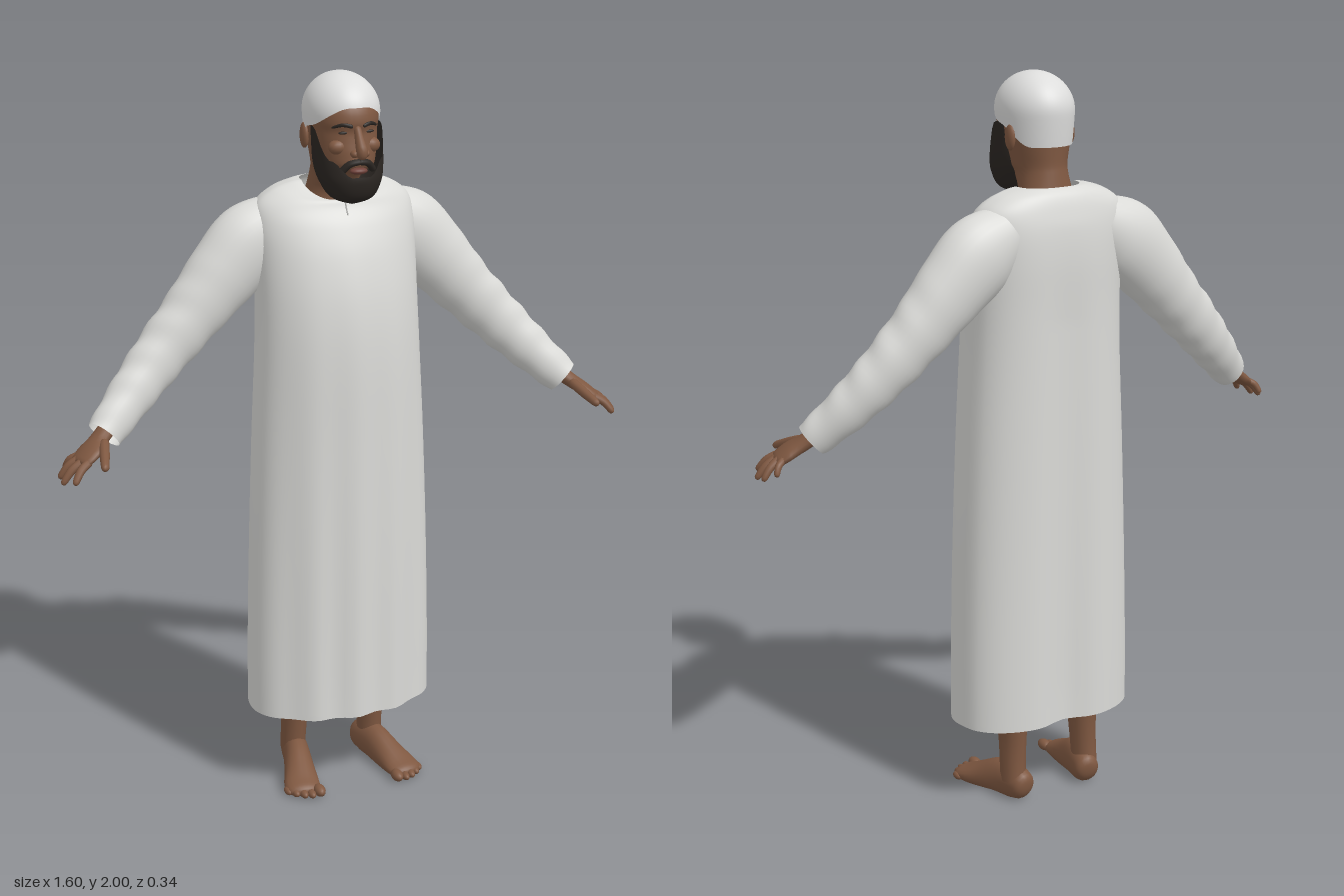
import * as THREE from 'three';
import { mergeVertices } from 'three/addons/utils/BufferGeometryUtils.js';

const paint = (name, color, open) => Object.assign(new THREE.MeshStandardMaterial({ color }),
  { name }, open ? { side: THREE.DoubleSide } : {});
const V = (x, y, z) => new THREE.Vector3(x, y, z);
const TAU = Math.PI * 2;
const smooth = THREE.MathUtils.smoothstep;

// Smooth surface from f(angle, v), closed around the angle
function surface(nu, nv, f) {
  const pos = [], idx = [], w = nu + 1;
  for (let j = 0; j <= nv; j++)
    for (let i = 0; i <= nu; i++) pos.push(...f(((i % nu) / nu) * TAU, j / nv).toArray());
  for (let j = 0; j < nv; j++)
    for (let i = 0; i < nu; i++) {
      const a = j * w + i;
      idx.push(a, a + 1, a + w, a + 1, a + w + 1, a + w);
    }
  let g = new THREE.BufferGeometry();
  g.setAttribute('position', new THREE.Float32BufferAttribute(pos, 3));
  g.setIndex(idx);
  g = mergeVertices(g, 1e-5);
  g.computeVertexNormals();
  return g;
}

// Smooth interpolation between rows of numbers, t from 0 to 1
function sample(rows, t) {
  const s = Math.min(t, 1) * (rows.length - 1), i = Math.min(Math.floor(s), rows.length - 2), f = s - i;
  const row = k => rows[Math.max(0, Math.min(rows.length - 1, k))];
  return rows[0].map((_, c) => {
    const [p, a, b, n] = [row(i - 1)[c], row(i)[c], row(i + 1)[c], row(i + 2)[c]];
    return a + 0.5 * f * (b - p + f * (2 * p - 5 * a + 4 * b - n + f * (3 * (a - b) + n - p)));
  });
}

// Point on a horizontal cross-section [y, half width, front z, back z]
function ring([y, w, zf, zb], a, n = 2) {
  const pw = c => Math.sign(c) * Math.abs(c) ** (2 / n);
  return V(w * pw(Math.sin(a)), y, (zf + zb) / 2 + ((zf - zb) / 2) * pw(Math.cos(a)));
}

// Tube with elliptical sections: rows are [x, y, z, radius across, radius along ref]
function limb(rows, { ref = V(0, 0, 1), round = 0, nu = 14, nv = 16, ripple, floor } = {}) {
  return surface(nu, nv, (a, v) => {
    const t = round ? (1 - Math.cos(v * Math.PI)) / 2 : v;
    const [x, y, z, ra, rb] = sample(rows, t);
    const p = sample(rows, Math.max(0, t - 0.01)), q = sample(rows, Math.min(1, t + 0.01));
    const tan = V(q[0] - p[0], q[1] - p[1], q[2] - p[2]).normalize();
    const B = ref.clone().addScaledVector(tan, -ref.dot(tan)).normalize();
    const A = B.clone().cross(tan);
    const d = Math.min(t, 1 - t);
    let k = round && d < round ? Math.sqrt(Math.max(0, 1 - ((round - d) / round) ** 2)) : 1;
    if (ripple) k *= ripple(a, t);
    const out = V(x, y, z).addScaledVector(A, Math.cos(a) * ra * k).addScaledVector(B, Math.sin(a) * rb * k);
    if (floor) out.y = Math.max(0, out.y);
    return out;
  });
}

function mirrored(geo) {
  const g = geo.clone().scale(-1, 1, 1), ix = g.index.array;
  for (let i = 0; i < ix.length; i += 3) [ix[i], ix[i + 1]] = [ix[i + 1], ix[i]];
  return g;
}

export function createModel() {
  const model = new THREE.Group();
  const cloth = paint('robe white', 0xdadad7, true), capWhite = paint('cap white', 0xdddddc, true);
  const skin = paint('skin brown', 0x7f5841), hair = paint('beard black', 0x2b2622, true);
  const lipTone = paint('lip brown', 0x70423a), seamTone = paint('seam grey', 0xb4b4b1);
  const add = (name, geo, mat) => {
    const m = new THREE.Mesh(geo, mat);
    m.name = name;
    model.add(m);
  };
  const pair = (name, geo, mat) => {
    add('left' + name, geo, mat);
    add('right' + name, mirrored(geo), mat);
  };
  const ball = (x, y, z, rx, ry, rz) => new THREE.SphereGeometry(1, 16, 12).scale(rx, ry, rz).translate(x, y, z);

  // Robe: y, half width, front z, back z, drop of the front neckline
  const robeRows = [
    [0.23, 0.262, 0.165, -0.168, 0], [0.42, 0.26, 0.165, -0.168, 0], [0.7, 0.252, 0.165, -0.168, 0],
    [1.0, 0.24, 0.162, -0.168, 0], [1.25, 0.227, 0.157, -0.168, 0], [1.4, 0.222, 0.142, -0.168, 0],
    [1.52, 0.223, 0.113, -0.168, 0], [1.6, 0.225, 0.08, -0.162, 0], [1.655, 0.213, 0.052, -0.15, 0.01],
    [1.69, 0.17, 0.042, -0.137, 0.025], [1.707, 0.12, 0.034, -0.122, 0.04], [1.711, 0.09, 0.03, -0.113, 0.048]];
  const robePoint = (a, v) => {
    const r = sample(robeRows, v), front = Math.max(0, Math.cos(a)), back = Math.max(0, -Math.cos(a));
    const p = ring(r, a, 2 + 0.5 * Math.min(1, back * 3));
    const k = THREE.MathUtils.clamp((1.62 - r[0]) / 1.3, 0, 1);
    p.y -= r[4] * front;
    p.z += back * (0.008 + 0.022 * k) * Math.min(1, k * 5) * Math.exp(-((p.x / 0.06) ** 2));
    p.z += front * 0.007 * k * (Math.cos(p.x * 52 + 0.4) - 1);
    return p;
  };
  add('robe', surface(72, 66, robePoint), cloth);
  const slit = [0.69, 0.74, 0.79, 0.84, 0.9, 0.96].map(v => robePoint(0, v));
  add('neckSlit', new THREE.TubeGeometry(new THREE.CatmullRomCurve3(slit), 16, 0.002, 6), seamTone);

  // Sleeves with creases toward the cuff
  pair('Sleeve', limb([
    [0.14, 1.6, -0.075, 0.08, 0.07], [0.22, 1.55, -0.075, 0.108, 0.082], [0.295, 1.478, -0.072, 0.1, 0.08],
    [0.39, 1.375, -0.065, 0.084, 0.07], [0.49, 1.272, -0.05, 0.073, 0.06], [0.58, 1.182, -0.02, 0.062, 0.053],
    [0.665, 1.1, 0.022, 0.05, 0.042]], {
    nu: 28, nv: 48,
    ripple: (a, t) => 1 + 0.04 * smooth(t, 0.3, 0.6) * Math.sin(55 * t + 2 * Math.sin(a)) * (0.6 + 0.4 * Math.cos(2 * a)),
  }), cloth);

  // Hands: palm, four fingers, thumb
  const across = V(-0.3, 0.1, 0.95);
  pair('Palm', limb([[0.62, 1.145, 0, 0.024, 0.026], [0.68, 1.095, 0.032, 0.02, 0.03],
    [0.715, 1.07, 0.055, 0.018, 0.045], [0.75, 1.045, 0.068, 0.013, 0.042]], { ref: across, round: 0.12 }), skin);
  const finger = (b, m, t, r) => limb([[...b, r, r], [...m, r, r], [...t, r * 0.75, r * 0.75]],
    { ref: across, round: 0.15, nu: 10, nv: 12 });
  [['Index', 0.125, 0.775, 1.01, 0.09, 0.722], ['Middle', 0.083, 0.797, 1.0, 0.072, 0.73],
    ['Ring', 0.045, 0.795, 1.004, 0.052, 0.736], ['Pinky', 0.012, 0.772, 1.02, 0.034, 0.738]].forEach(([n, z, x, y, bz, bx]) =>
    pair(n + 'Finger', finger([bx, 1.058, bz], [(bx + x) / 2 + 0.005, (1.058 + y) / 2 + 0.006, (bz + z) / 2], [x, y, z],
      n === 'Pinky' ? 0.0095 : 0.011), skin));
  pair('Thumb', finger([0.675, 1.095, 0.055], [0.69, 1.075, 0.11], [0.705, 1.055, 0.166], 0.0135), skin);

  // Legs, feet and toes
  pair('Leg', limb([[0.118, 0.05, -0.066, 0.034, 0.042], [0.117, 0.1, -0.062, 0.035, 0.042],
    [0.115, 0.17, -0.058, 0.037, 0.046], [0.115, 0.26, -0.055, 0.044, 0.054], [0.115, 0.42, -0.05, 0.055, 0.062]]), skin);
  pair('Foot', limb([[0.102, 0.033, -0.115, 0.034, 0.036], [0.11, 0.042, -0.075, 0.037, 0.05],
    [0.122, 0.04, -0.02, 0.038, 0.056], [0.138, 0.026, 0.045, 0.044, 0.042], [0.152, 0.016, 0.1, 0.05, 0.026],
    [0.16, 0.012, 0.142, 0.042, 0.016]], { ref: V(0, 1, 0), round: 0.12, nu: 20, nv: 26, floor: true }), skin);
  [[0.118, 0.146, 0.016, 0.026], [0.142, 0.149, 0.011, 0.02], [0.162, 0.141, 0.011, 0.02],
    [0.181, 0.126, 0.011, 0.02], [0.197, 0.108, 0.011, 0.019]].forEach(([x, z, r, l], i) =>
    pair('Toe' + (i + 1), ball(x, r, z, r, r, l), skin));

  // Head and neck
  const headRows = [
    [1.64, 0.085, 0.02, -0.118], [1.69, 0.072, 0.02, -0.108], [1.74, 0.066, 0.06, -0.1], [1.765, 0.074, 0.128, -0.097],
    [1.8, 0.081, 0.134, -0.098], [1.835, 0.086, 0.128, -0.1], [1.86, 0.088, 0.125, -0.102], [1.885, 0.09, 0.13, -0.103],
    [1.92, 0.088, 0.121, -0.1], [1.95, 0.072, 0.09, -0.08], [1.975, 0.025, 0.03, -0.03]];
  add('head', surface(36, 40, (a, v) => ring(sample(headRows, v), a, 2.15)), skin);
  pair('Ear', ball(0.091, 1.835, -0.016, 0.011, 0.034, 0.02).rotateX(0), skin);

  // Face
  add('nose', limb([[0, 1.876, 0.122, 0.009, 0.01], [0, 1.848, 0.136, 0.011, 0.014], [0, 1.818, 0.155, 0.015, 0.017],
    [0, 1.802, 0.15, 0.014, 0.014]], { round: 0.12 }), skin);
  pair('Nostril', ball(0.015, 1.809, 0.142, 0.011, 0.01, 0.014), skin);
  pair('Cheek', ball(0.045, 1.822, 0.103, 0.026, 0.02, 0.02), skin);
  pair('Brow', limb([[0.014, 1.876, 0.13, 0.005, 0.004], [0.038, 1.881, 0.121, 0.005, 0.004],
    [0.062, 1.872, 0.101, 0.003, 0.003]], { round: 0.15, nu: 8 }), hair);
  pair('Eye', ball(0.035, 1.86, 0.116, 0.014, 0.004, 0.006), hair);
  add('lips', ball(0, 1.763, 0.135, 0.024, 0.009, 0.015), lipTone);

  // Beard: its upper edge rises from the mouth to the ears
  const beardRows = [[1.668, 0.002, 0.092, 0.088], [1.688, 0.055, 0.138, 0.03], [1.73, 0.08, 0.156, -0.012],
    [1.77, 0.089, 0.152, -0.03], [1.82, 0.092, 0.138, -0.03], [1.87, 0.093, 0.132, -0.03]];
  add('beard', surface(48, 24, (a, v) => {
    const b = Math.min(a, TAU - a);
    const top = 0.5 + 0.18 * smooth(b, 0.25, 0.8) + 0.32 * smooth(b, 0.85, 1.6);
    return ring(sample(beardRows, v * top), a, 2.2);
  }), hair);
  pair('Moustache', limb([[-0.003, 1.788, 0.143, 0.008, 0.008], [0.025, 1.782, 0.136, 0.009, 0.01],
    [0.043, 1.762, 0.124, 0.009, 0.012]], { round: 0.1, nu: 10 }), hair);

  // Cap: lower edge sweeps down from the brow to the nape
  add('cap', surface(48, 24, (a, v) => {
    const b = Math.min(a, TAU - a);
    const low = 1.923 - 0.055 * smooth(b, 0.2, 1.5) - 0.055 * smooth(b, 1.4, 2.4);
    const y = low + (2 - low) * Math.sin((v * Math.PI) / 2);
    const s = y > 1.9 ? Math.sqrt(Math.max(0, 1 - ((y - 1.9) / 0.1) ** 2)) : 1 - 1.2 * (1.9 - y) ** 1.2;
    return ring([y, 0.097 * s, 0.01 + 0.121 * s, 0.01 - 0.119 * s], a, 2.1);
  }), capWhite);

  return model;
}
